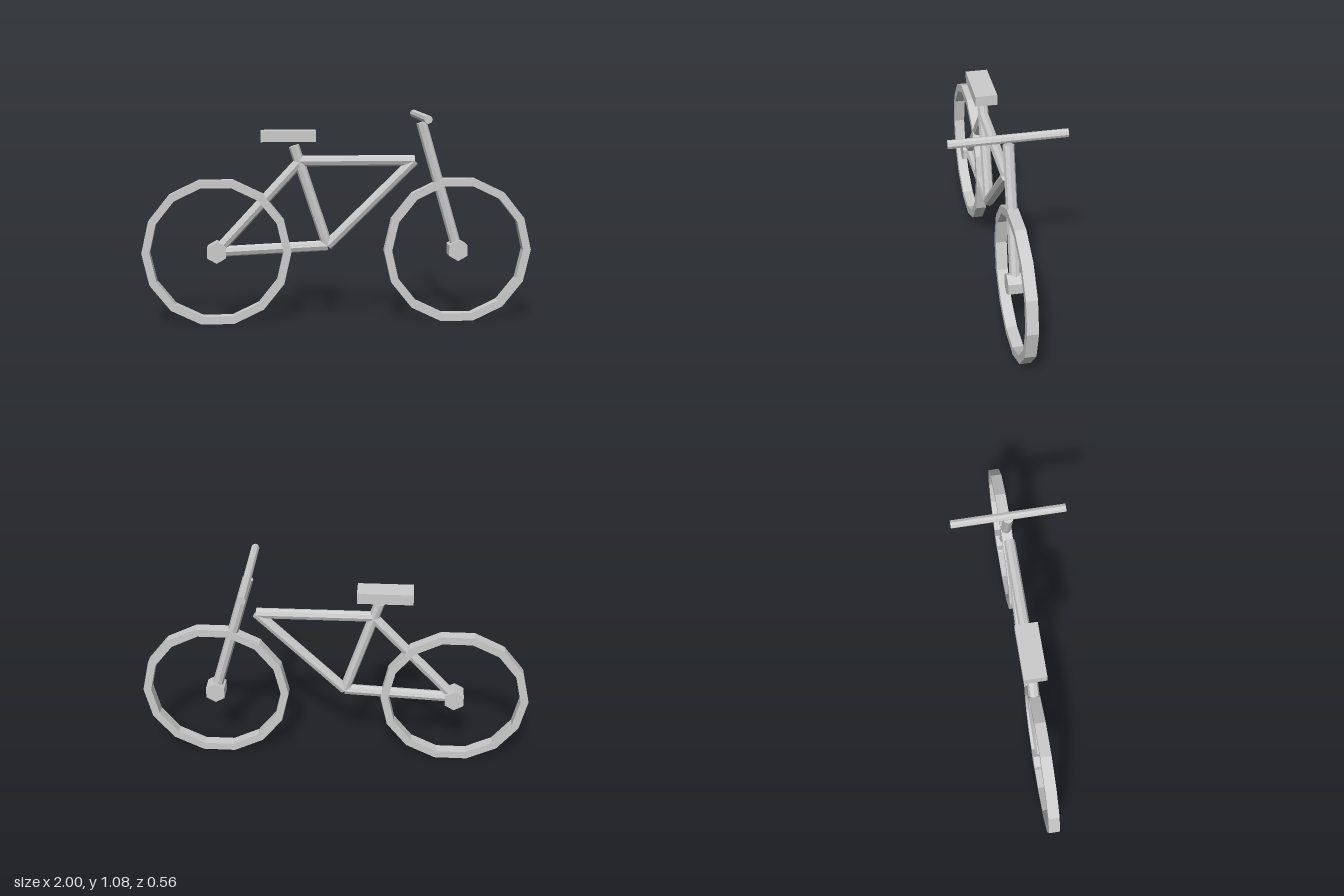
import * as THREE from 'three';

export function createModel() {
  const bike = new THREE.Group();
  bike.name = 'bicycle';
  const grey = new THREE.MeshStandardMaterial({ color: 0xcccccc, flatShading: true });
  grey.name = 'light grey';

  const add = (name, geometry, x, y, z = 0) => {
    const mesh = new THREE.Mesh(geometry, grey);
    mesh.name = name;
    mesh.position.set(x, y, z);
    bike.add(mesh);
    return mesh;
  };

  // Eight-sided tube between two points of the centre plane
  const up = new THREE.Vector3(0, 1, 0);
  const tube = (name, [ax, ay], [bx, by], radius = 0.0275) => {
    const dir = new THREE.Vector3(bx - ax, by - ay, 0);
    const geometry = new THREE.CylinderGeometry(radius, radius, dir.length(), 8);
    const mesh = add(name, geometry, (ax + bx) / 2, (ay + by) / 2);
    mesh.quaternion.setFromUnitVectors(up, dir.normalize());
  };

  // Wheels: fourteen-sided rim of rectangular section, and a six-sided hub
  const axleX = 0.619, axleY = 0.371;
  const outer = 0.381, inner = 0.34, half = 0.0275;
  const section = [[inner, -half], [outer, -half], [outer, half], [inner, half], [inner, -half]]
    .map(([r, h]) => new THREE.Vector2(r, h));
  for (const [side, x] of [['rear', -axleX], ['front', axleX]]) {
    const rim = new THREE.LatheGeometry(section, 14, Math.PI / 2).rotateX(Math.PI / 2);
    add(side + 'Wheel', rim, x, axleY);
    const hub = new THREE.CylinderGeometry(0.055, 0.055, 0.089, 6).rotateX(Math.PI / 2);
    add(side + 'Hub', hub, x, axleY + 0.002);
  }

  // Frame
  const seatJoint = [-0.19, 0.836];
  const headJoint = [0.392, 0.836];
  const crank = [-0.053, 0.4];
  const rearAxle = [-axleX, axleY + 0.002];
  tube('topTube', seatJoint, headJoint);
  tube('downTube', crank, headJoint);
  tube('seatTube', crank, [-0.223, 0.914]);
  tube('seatStay', rearAxle, seatJoint);
  tube('chainStay', rearAxle, crank);
  tube('fork', [axleX, axleY + 0.002], [0.427, 1.03]);

  // Saddle and handlebar
  add('seat', new THREE.BoxGeometry(0.278, 0.055, 0.112), -0.251, 0.964);
  add('handlebar', new THREE.CylinderGeometry(0.021, 0.021, 0.564, 8).rotateX(Math.PI / 2), 0.423, 1.06);

  return bike;
}
